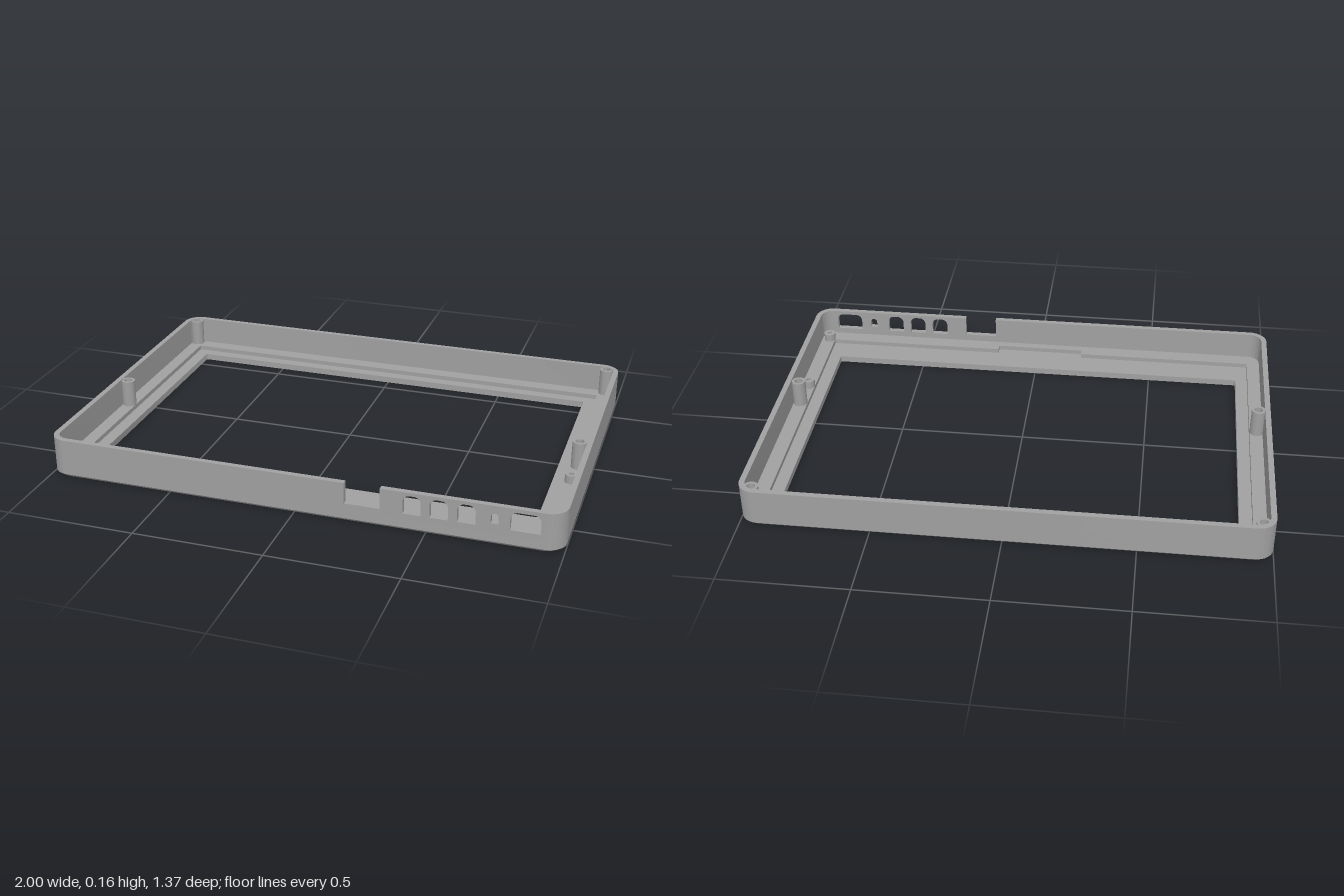
import * as THREE from 'three';
import { toCreasedNormals } from 'three/addons/utils/BufferGeometryUtils.js';

const W = 1, D = 0.685, H = 0.156;        // half width, half depth, height
const R = 0.07, T = 0.022;                // corner radius, wall thickness
const CHAMFER = 0.012, FLOOR = 0.026, LEDGE = 0.044;
const CX = W - R, CZ = D - R;             // corner arc centres

// Plan shapes use (x, -z); rectangle with rounded corners
function roundedRect(path, x0, x1, y0, y1, r) {
  path.moveTo(x0 + r, y0);
  path.absarc(x1 - r, y0 + r, r, -Math.PI / 2, 0);
  path.absarc(x1 - r, y1 - r, r, 0, Math.PI / 2);
  path.absarc(x0 + r, y1 - r, r, Math.PI / 2, Math.PI);
  path.absarc(x0 + r, y0 + r, r, Math.PI, Math.PI * 1.5);
  path.closePath();
  return path;
}

// Extrude a plan shape upward between two heights
function slab(shape, y0, y1) {
  const g = new THREE.ExtrudeGeometry(shape, { depth: y1 - y0, bevelEnabled: false, curveSegments: 12 });
  g.rotateX(-Math.PI / 2);
  g.translate(0, y0, 0);
  return g;
}

// Port opening: square at the bottom, rounded at the top
function port(x0, x1, y0, y1, r) {
  const p = new THREE.Path();
  p.moveTo(x0, y0);
  p.lineTo(x1, y0);
  p.absarc(x1 - r, y1 - r, r, 0, Math.PI / 2);
  p.absarc(x0 + r, y1 - r, r, Math.PI / 2, Math.PI);
  p.closePath();
  return p;
}

export function createModel() {
  const group = new THREE.Group();
  const grey = new THREE.MeshStandardMaterial({ color: 0xa0a0a0 });
  grey.name = 'grey plastic';
  const add = (name, geometry) => {
    const mesh = new THREE.Mesh(toCreasedNormals(geometry, 0.5), grey);
    mesh.name = name;
    group.add(mesh);
  };

  // Bezel with the screen window
  const bezel = roundedRect(new THREE.Shape(), -W, W, -D, D, R);
  bezel.holes.push(roundedRect(new THREE.Path(), -0.875, 0.87, -0.49, 0.56, 0.008));
  add('bezel', slab(bezel, CHAMFER, FLOOR));

  // Bottom layer: outer rim drawn in to make the chamfer
  const bottom = slab(bezel, 0, CHAMFER);
  const p = bottom.attributes.position;
  for (let i = 0; i < p.count; i++) {
    const x = p.getX(i), z = p.getZ(i);
    const outer = Math.abs(x) > 0.9 || Math.abs(z) > 0.58;
    if (outer && p.getY(i) < 0.001) {
      p.setX(i, x * (1 - CHAMFER / W));
      p.setZ(i, z * (1 - CHAMFER / D));
    }
  }
  bottom.computeVertexNormals();
  add('chamferedBottom', bottom);

  // Raised ledge around the screen recess, notched at the front
  const ledge = roundedRect(new THREE.Shape(), -W, W, -D, D, R);
  ledge.holes.push(new THREE.Path([
    [-0.925, -0.6], [-0.195, -0.6], [-0.195, -0.63], [0.175, -0.63], [0.175, -0.6],
    [0.92, -0.6], [0.92, 0.605], [-0.925, 0.605], [-0.925, -0.6],
  ].map(([x, y]) => new THREE.Vector2(x, y))));
  add('ledge', slab(ledge, FLOOR, LEDGE));

  // Side and back walls, including all four corners
  const wall = new THREE.Shape();
  const q = Math.PI / 2;
  const corners = [[-CX, -CZ, -q], [-CX, CZ, -2 * q], [CX, CZ, -3 * q], [CX, -CZ, -4 * q]];
  wall.moveTo(-CX, -D);
  for (const [x, y, a] of corners) wall.absarc(x, y, R, a, a - q, true);
  for (const [x, y, a] of [...corners].reverse()) wall.absarc(x, y, R - T, a - q, a, false);
  wall.closePath();
  add('sideAndBackWalls', slab(wall, LEDGE, H));

  // Front wall with the open slot and the port openings
  const front = new THREE.Shape([
    [-CX, LEDGE], [CX, LEDGE], [CX, H], [0.33, H], [0.33, 0.073], [0.195, 0.073], [0.195, H], [-CX, H],
  ].map(([x, y]) => new THREE.Vector2(x, y)));
  for (const x of [0.415, 0.515, 0.615]) front.holes.push(port(x, x + 0.067, 0.069, 0.143, 0.026));
  front.holes.push(port(0.736, 0.764, 0.085, 0.125, 0.0135));
  front.holes.push(port(0.805, 0.915, 0.069, 0.141, 0.026));
  const frontWall = new THREE.ExtrudeGeometry(front, { depth: T, bevelEnabled: false, curveSegments: 8 });
  frontWall.translate(0, 0, D - T);
  add('frontWall', frontWall);

  // Hollow screw posts
  const post = (name, x, z, r, hole, top) => {
    const ring = new THREE.Shape().absarc(x, -z, r, 0, Math.PI * 2);
    ring.holes.push(new THREE.Path().absarc(x, -z, hole, 0, Math.PI * 2));
    add(name, slab(ring, FLOOR, top));
  };
  for (const x of [-0.953, 0.949]) {
    for (const z of [-0.643, 0.082]) post('screwPost', x, z, 0.028, 0.017, H - 0.003);
  }
  for (const z of [0.212, 0.602]) post('shortPost', 0.943, z, 0.024, 0.01, 0.077);

  return group;
}
